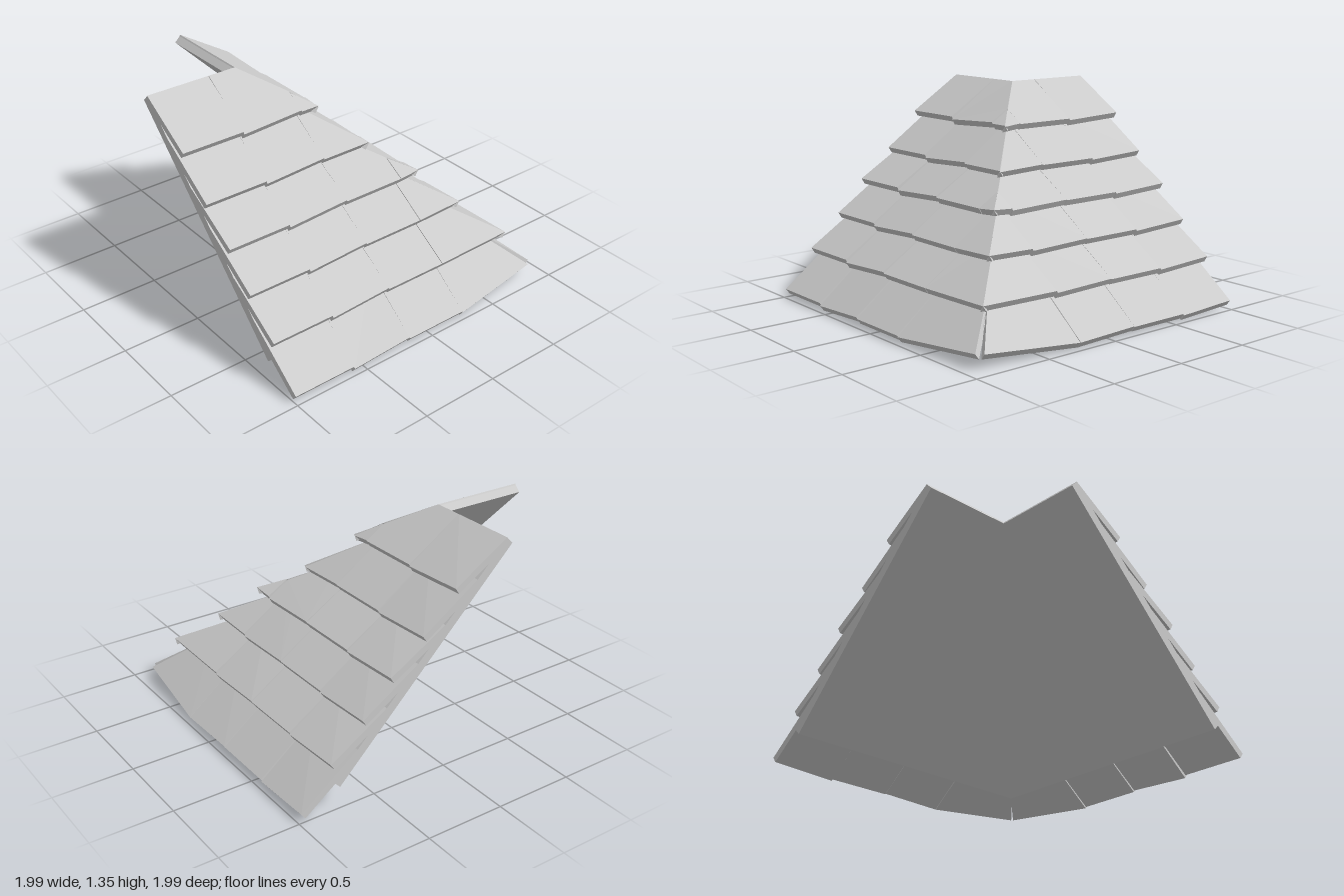
import * as THREE from 'three';

const BASE = 0.94;      // deck plane: y = BASE - z
const THICK = 0.043;    // shingle thickness
const COLS = [-1, -0.583, -0.166, 0.256, 1];
// [z, y] of the lower top edge of each course, bottom to top
const ROWS = [[0.985, 0.045], [0.79, 0.288], [0.58, 0.492], [0.395, 0.698], [0.178, 0.885], [-0.04, 1.115]];
// lift of the two lower corners of each column
const LIFTS = {
  front: [[0, 0], [-0.018, 0.005], [-0.004, -0.004], [-0.004, 0.008]],
  side: [[0.004, -0.014], [-0.004, -0.004], [0, -0.012], [0, 0.008]],
};

// Solid between an outline (anticlockwise from outside) and its underside
function prism(top, under, mirrored) {
  const pos = [];
  const tri = (a, b, c) => {
    for (const p of mirrored ? [a, c, b] : [a, b, c]) {
      if (mirrored) pos.push(p.z, p.y, p.x); // swap x and z for the other slope
      else pos.push(p.x, p.y, p.z);
    }
  };
  const n = top.length;
  for (let i = 1; i < n - 1; i++) {
    tri(top[0], top[i], top[i + 1]);
    tri(under[0], under[i + 1], under[i]);
  }
  for (let i = 0; i < n; i++) {
    const j = (i + 1) % n;
    tri(under[i], under[j], top[j]);
    tri(under[i], top[j], top[i]);
  }
  const g = new THREE.BufferGeometry();
  g.setAttribute('position', new THREE.Float32BufferAttribute(pos, 3));
  g.computeVertexNormals();
  return g;
}

// Plan outline of a shingle, cut along the hip line x = z
function outline(x0, x1, zt, zb) {
  const pts = [[x0, zb], [Math.min(x1, zb), zb]];
  if (x1 < zb && x1 > zt) pts.push([x1, x1]);
  if (x1 <= zt) pts.push([x1, zt], [x0, zt]);
  else if (x0 < zt) pts.push([zt, zt], [x0, zt]);
  else pts.push([x0, x0]);
  return pts;
}

function shingle(row, col, side, mirrored) {
  const [zb, yb] = ROWS[row];
  const x0 = COLS[col] + (col ? 0.002 : 0);
  const x1 = COLS[col + 1] - 0.002;
  if (x0 > zb - 0.03) return null;
  const zt = Math.max(zb - 0.37, -0.395);
  const yt = BASE - zt + 0.003;
  const slope = Math.atan2(yt - yb, zb - zt);
  const flared = row === 0 && col === 3; // corner shingle curls up at the hip
  const [l0, l1] = flared ? [-0.012, 0.035] : LIFTS[side][col];
  const xEnd = Math.min(x1, zb);
  const top = outline(x0, x1, zt, zb).map(([x, z]) => {
    const f = (z - zt) / (zb - zt);
    const s = (x - x0) / (xEnd - x0);
    const y = yt + (yb - yt) * f + (l0 + (l1 - l0) * s) * f;
    const pull = flared ? 0.065 * s * f : 0;
    const gap = flared ? 0.1 * s * f : 0;
    return new THREE.Vector3(x - gap, y, z - pull);
  });
  const drop = new THREE.Vector3(0, -Math.cos(slope) * THICK, -Math.sin(slope) * THICK);
  return prism(top, top.map((p) => p.clone().add(drop)), mirrored);
}

// Deck under the shingles, mitred at the hip
function deck(mirrored) {
  const t = 0.04, z0 = -0.395, z1 = 0.77;
  const plan = [[-1, z1], [z1, z1], [z0, z0], [-1, z0]];
  const top = plan.map(([x, z]) => new THREE.Vector3(x, BASE - z, z));
  const under = top.map((p) => new THREE.Vector3(p.x === -1 ? -1 : p.x - t, p.y - t, p.z - t));
  return prism(top, under, mirrored);
}

export function createModel() {
  const root = new THREE.Group();
  root.name = 'roofCorner';
  const material = new THREE.MeshStandardMaterial({ color: 0xcccccc, flatShading: true });
  for (const side of ['front', 'side']) {
    const mirrored = side === 'side';
    const slope = new THREE.Group();
    slope.name = side + 'Slope';
    const add = (geometry, name) => {
      const mesh = new THREE.Mesh(geometry, material);
      mesh.name = name;
      slope.add(mesh);
    };
    add(deck(mirrored), 'deck');
    for (let r = 0; r < ROWS.length; r++) {
      for (let c = 0; c < COLS.length - 1; c++) {
        const g = shingle(r, c, side, mirrored);
        if (g) add(g, `shingleRow${r + 1}Column${c + 1}`);
      }
    }
    root.add(slope);
  }
  return root;
}
